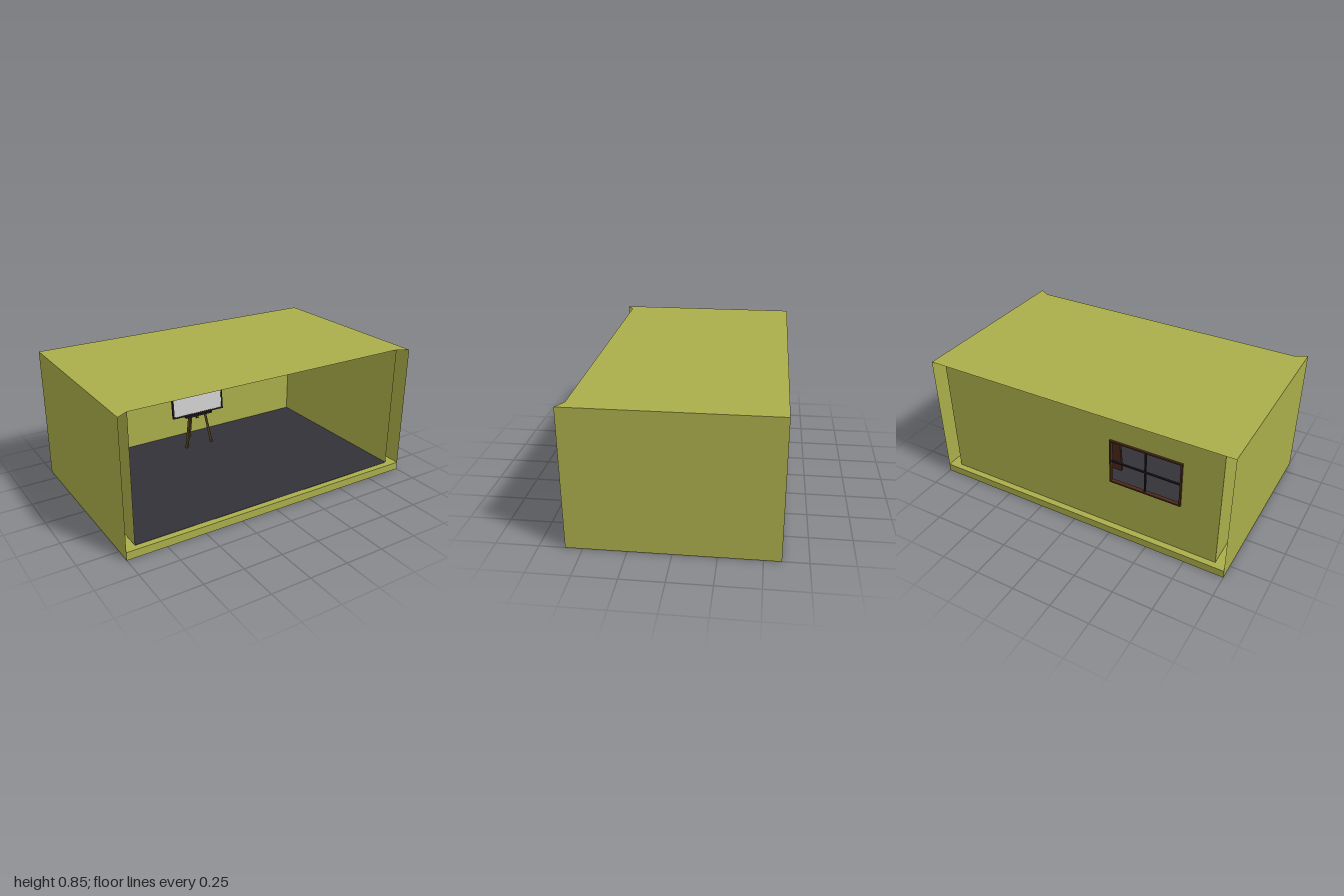
import * as THREE from 'three';

const mat = (color, side = THREE.FrontSide) =>
  new THREE.MeshStandardMaterial({ color, side, flatShading: true });
const olive = mat(0xaaad4a);
const oliveThin = mat(0xaaad4a, THREE.DoubleSide);
const dark = mat(0x333238);
const brown = mat(0x4a2a1a);
const black = mat(0x221a1e);
const wood = mat(0x53431f);
const grey = mat(0xcccccc);

const W = 1, D = 0.6, H = 0.85;          // outer shell half width, half depth, height
const IW = 0.93, ID = 0.56, FLOOR = 0.05; // inner room

function add(parent, name, geometry, material, x = 0, y = 0, z = 0) {
  const m = new THREE.Mesh(geometry, material);
  m.name = name;
  m.position.set(x, y, z);
  parent.add(m);
  return m;
}
const box = (w, h, d) => new THREE.BoxGeometry(w, h, d);

// Square bar running between two points
function bar(parent, name, a, b, t, material) {
  const from = new THREE.Vector3(...a), to = new THREE.Vector3(...b);
  const m = add(parent, name, box(t, t, from.distanceTo(to)), material);
  m.position.copy(from).lerp(to, 0.5);
  m.lookAt(to);
}

function rectPath(target, x0, y0, x1, y1) {
  target.moveTo(x0, y0).lineTo(x1, y0).lineTo(x1, y1).lineTo(x0, y1).closePath();
  return target;
}

function buildRoom() {
  const room = new THREE.Group();
  room.name = 'room';
  add(room, 'base', box(2 * W, FLOOR, 2 * D), olive, 0, FLOOR / 2, 0);
  add(room, 'floor', box(2 * IW, 0.004, 2 * ID), dark, 0, FLOOR, 0);

  // Thin roof, cut back along the front edge
  const roof = new THREE.Shape([
    [-W, -D], [W, -D], [W, D], [IW, ID], [-IW, ID], [-W, D],
  ].map(([x, z]) => new THREE.Vector2(x, -z)));
  add(room, 'roof', new THREE.ShapeGeometry(roof), oliveThin, 0, H, 0).rotation.x = -Math.PI / 2;

  // Outer and inner side walls with an open gap between them
  for (const s of [-1, 1]) {
    add(room, 'outerWall', new THREE.PlaneGeometry(2 * D, H), oliveThin, s * W, H / 2, 0)
      .rotation.y = s * Math.PI / 2;
    add(room, 'innerWall', new THREE.PlaneGeometry(2 * ID, H - FLOOR), oliveThin, s * IW, (H + FLOOR) / 2, 0)
      .rotation.y = s * Math.PI / 2;
  }

  // Back wall with the window opening
  const wall = rectPath(new THREE.Shape(), -IW, FLOOR, IW, H);
  wall.holes.push(rectPath(new THREE.Path(), -0.69, 0.385, -0.245, 0.675));
  add(room, 'backWall', new THREE.ShapeGeometry(wall), oliveThin, 0, 0, -ID);
  return room;
}

function buildWindow() {
  const win = new THREE.Group();
  win.name = 'window';
  const w = 0.455, h = 0.3, t = 0.01, d = 0.024;
  for (const s of [-1, 1]) {
    add(win, 'frameSide', box(t, h, d), brown, s * (w - t) / 2, 0, 0);
    add(win, 'frameRail', box(w - 2 * t, t, d), brown, 0, s * (h - t) / 2, 0);
  }
  add(win, 'mullion', box(0.009, h - 2 * t, 0.012), black);
  add(win, 'crossbar', box(w - 2 * t, 0.009, 0.011), black);
  win.position.set(-0.4675, 0.53, -ID);
  return win;
}

function buildEasel() {
  const easel = new THREE.Group();
  easel.name = 'easel';
  // Legs: two in front meeting behind the board, a mast and a rear prop
  for (const s of [-1, 1])
    bar(easel, 'frontLeg', [s * 0.1, FLOOR, -0.342], [s * 0.015, 0.54, -0.392], 0.016, wood);
  bar(easel, 'mast', [0, 0.25, -0.366], [0, 0.64, -0.405], 0.016, wood);
  bar(easel, 'rearLeg', [0, FLOOR, -0.49], [0, 0.55, -0.405], 0.016, wood);

  // Tilted board with framed canvas and tray
  const board = new THREE.Group();
  board.name = 'board';
  const w = 0.396, h = 0.274, t = 0.01;
  add(board, 'backing', box(w, h, 0.01), brown);
  add(board, 'canvas', box(w - 2 * t, h - 2 * t, 0.004), grey, 0, 0, 0.006);
  add(board, 'topRail', box(w, t, 0.012), brown, 0, (h - t) / 2, 0.006);
  add(board, 'bottomRail', box(w, t, 0.012), black, 0, -(h - t) / 2, 0.006);
  for (const s of [-1, 1])
    add(board, 'sideRail', box(t, h - 2 * t, 0.012), black, s * (w - t) / 2, 0, 0.006);
  add(board, 'tray', box(0.205, 0.012, 0.04), black, 0, -h / 2 - 0.006, 0.002);
  board.position.set(-0.003, 0.428, -0.364);
  board.rotation.x = -0.1;
  easel.add(board);
  return easel;
}

export function createModel() {
  const model = new THREE.Group();
  model.name = 'studioRoom';
  model.add(buildRoom(), buildWindow(), buildEasel());
  return model;
}
